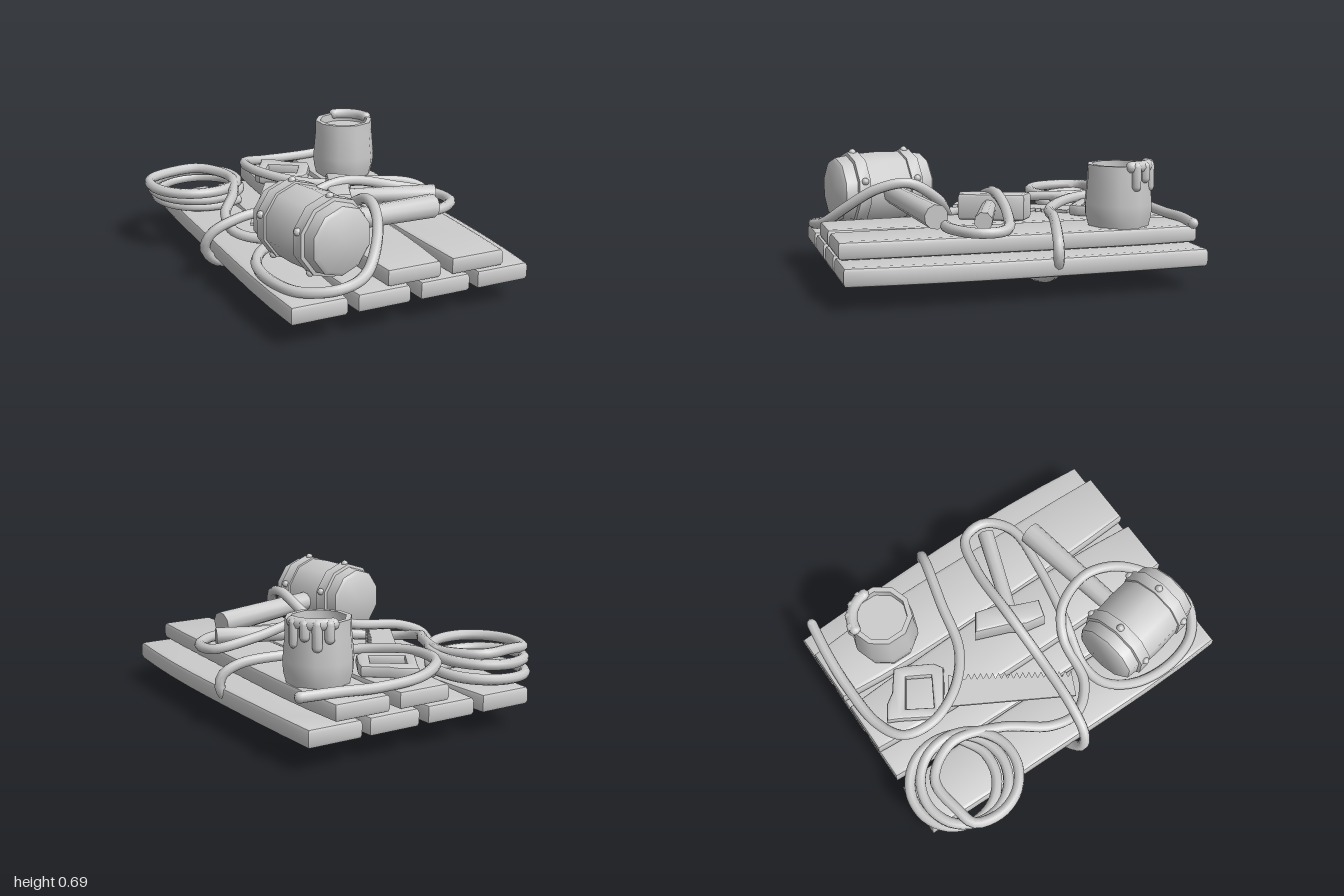
import * as THREE from 'three';
import { toCreasedNormals } from 'three/addons/utils/BufferGeometryUtils.js';

const V = (x, y, z) => new THREE.Vector3(x, y, z);
const grey = new THREE.MeshStandardMaterial({ color: 0xcccccc, side: THREE.DoubleSide });

function mesh(name, geometry, parent, crease = 0.8) {
  const m = new THREE.Mesh(toCreasedNormals(geometry, crease), grey);
  m.name = name;
  parent.add(m);
  return m;
}

// Plan outline given as [x, z] pairs, extruded from y0 to y1 with a bevelled edge
function slab(name, outline, y0, y1, bevel, parent, hole) {
  const toPoints = list => list.map(([x, z]) => new THREE.Vector2(x, -z));
  const shape = new THREE.Shape(toPoints(outline));
  if (hole) shape.holes.push(new THREE.Path(toPoints(hole)));
  const g = new THREE.ExtrudeGeometry(shape, {
    depth: y1 - y0 - 2 * bevel, bevelEnabled: bevel > 0, bevelThickness: bevel,
    bevelSize: bevel, bevelOffset: -bevel, bevelSegments: 2,
  });
  g.rotateX(-Math.PI / 2).translate(0, y0 + bevel, 0);
  return mesh(name, g, parent, 0.6);
}

// Plank with softly waving sides
function plank(name, x0, x1, y0, y1, seed, parent) {
  const left = [], right = [], n = 8;
  for (let i = 0; i <= n; i++) {
    const t = i / n, z = -0.94 + 1.91 * t;
    const pinch = 0.025 * Math.pow(Math.abs(2 * t - 1), 3);
    left.push([x0 + pinch + 0.007 * Math.sin(5 * t + seed), z]);
    right.push([x1 - pinch + 0.007 * Math.sin(6 * t + seed * 2), z]);
  }
  slab(name, [...left, ...right.reverse()], y0, y1, 0.022, parent);
}

// Tapered rod between two points
function rod(name, a, b, ra, rb, sides, parent) {
  const dir = b.clone().sub(a);
  const m = mesh(name, new THREE.CylinderGeometry(rb, ra, dir.length(), sides), parent);
  m.position.copy(a).add(b).multiplyScalar(0.5);
  m.quaternion.setFromUnitVectors(V(0, 1, 0), dir.normalize());
  return m;
}

const lathe = (pts, sides) =>
  new THREE.LatheGeometry(pts.map(p => new THREE.Vector2(p[0], p[1])), sides);

function buildMallet() {
  const mallet = new THREE.Group();
  mallet.name = 'mallet';
  const head = new THREE.Group();
  head.name = 'malletHead';
  mallet.add(head);
  const profile = [[0, -0.27], [0.16, -0.27], [0.18, -0.255], [0.197, -0.14], [0.203, 0],
    [0.197, 0.14], [0.18, 0.255], [0.16, 0.27], [0, 0.27]];
  mesh('malletBarrel', lathe(profile, 10), head, 0.7);
  for (const y of [-0.155, 0.155]) {
    const band = [[0.19, y - 0.037], [0.207, y - 0.033], [0.209, y + 0.033], [0.19, y + 0.037]];
    mesh('malletBand', lathe(band, 10), head, 0.7);
    for (let k = 0; k < 5; k++) {
      const a = k * Math.PI * 0.4;
      const rivet = mesh('malletRivet', new THREE.SphereGeometry(0.021, 8, 6), head);
      rivet.position.set(0.205 * Math.sin(a), y, 0.205 * Math.cos(a));
    }
  }
  // Barrel axis lies flat, swung slightly toward +x at the front
  head.position.set(-0.335, 0.465, 0.6);
  head.quaternion.setFromRotationMatrix(new THREE.Matrix4().makeBasis(
    V(-0.98, 0, 0.2), V(0.2, 0, 0.98), V(0, 1, 0)));
  rod('malletHandle', V(-0.25, 0.455, 0.57), V(0.46, 0.41, 0.45), 0.052, 0.066, 10, mallet);
  return mallet;
}

function buildHammer() {
  const hammer = new THREE.Group();
  hammer.name = 'hammer';
  slab('hammerHead', [[0.12, -0.16], [0.22, -0.09], [0.19, 0.02], [0.13, 0.12], [0.08, 0.24],
    [-0.02, 0.21], [0.0, 0.1], [0.05, 0.02]], 0.325, 0.47, 0.018, hammer);
  rod('hammerHandle', V(0.1, 0.4, 0.07), V(0.6, 0.4, 0.24), 0.04, 0.048, 8, hammer);
  return hammer;
}

function buildSaw() {
  const saw = new THREE.Group();
  saw.name = 'saw';
  const outline = [[0.04, -0.4], [-0.11, -0.5], [-0.46, 0.11], [-0.33, 0.17]];
  // Toothed cutting edge
  const teeth = 18;
  for (let i = 0; i < teeth; i++) {
    const t = i / teeth;
    const x = -0.33 + 0.33 * t, z = 0.17 - 0.5 * t;
    outline.push([x, z], [x - 0.018, z - 0.034]);
  }
  slab('sawBlade', outline, 0.328, 0.345, 0, saw);
  slab('sawHandle', [[0.0, -0.82], [0.08, -0.77], [0.12, -0.71], [0.23, -0.63], [0.21, -0.57],
    [0.13, -0.43], [0.08, -0.4], [0.0, -0.45], [-0.13, -0.54], [-0.14, -0.58], [-0.03, -0.76]],
  0.322, 0.385, 0.015, saw, [[0.0, -0.7], [-0.08, -0.57], [0.08, -0.48], [0.15, -0.6]]);
  return saw;
}

function buildPot() {
  const pot = new THREE.Group();
  pot.name = 'paintPot';
  mesh('potBody', lathe([[0, 0], [0.165, 0], [0.181, 0.06], [0.184, 0.12], [0.172, 0.25],
    [0.17, 0.33], [0.142, 0.33], [0.14, 0.28]], 10), pot, 0.75);
  mesh('paintSurface', new THREE.CircleGeometry(0.145, 10).rotateX(-Math.PI / 2), pot)
    .position.y = 0.285;
  // Paint spilling over the rim, with drips down the outside
  const arc = [];
  for (let i = 0; i <= 6; i++) {
    const a = -1.5 + i * 0.24;
    arc.push(V(0.155 * Math.cos(a), 0.325, 0.155 * Math.sin(a)));
  }
  mesh('paintSpill', new THREE.TubeGeometry(new THREE.CatmullRomCurve3(arc), 10, 0.031, 8), pot);
  const ends = [arc[0], arc[6]];
  for (const p of ends) mesh('paintSpillEnd', new THREE.SphereGeometry(0.031, 8, 6), pot).position.copy(p);
  [[-1.35, 0.07], [-0.98, 0.11], [-0.6, 0.06], [-0.22, 0.1]].forEach(([a, len]) => {
    const drip = mesh('paintDrip', new THREE.CapsuleGeometry(0.027, len, 4, 8), pot);
    drip.position.set(0.166 * Math.cos(a), 0.325 - len / 2, 0.166 * Math.sin(a));
  });
  pot.position.set(0.43, 0.32, -0.55);
  return pot;
}

function buildRope() {
  const rope = new THREE.Group();
  rope.name = 'rope';
  const path = [];
  // Coil of rising, drifting turns
  const turns = 2.5, steps = 26;
  for (let i = 0; i <= steps; i++) {
    const t = i / steps, a = 0.85 + t * turns * 2 * Math.PI - 0.3 * t;
    const k = Math.min(1, t * 1.15);
    path.push(V(-0.44 - 0.075 * k + 0.25 * Math.cos(a), 0.25 + 0.13 * k,
      -0.725 + 0.11 * k + 0.25 * Math.sin(a)));
  }
  // Run to the front, loop round the mallet, cross the hammer, pass under the
  // planks and end at the back corner
  const run = [
    [-0.62, 0.39, -0.78], [-0.42, 0.39, -0.79], [-0.3, 0.38, -0.6], [-0.38, 0.37, -0.33],
    [-0.52, 0.33, -0.1], [-0.53, 0.29, 0.07], [-0.4, 0.28, 0.21], [-0.15, 0.33, 0.25],
    [-0.02, 0.43, 0.33], [0.03, 0.53, 0.5], [0.0, 0.5, 0.67], [-0.08, 0.4, 0.82],
    [-0.2, 0.3, 0.93], [-0.36, 0.27, 0.97], [-0.52, 0.25, 0.87], [-0.59, 0.25, 0.68],
    [-0.57, 0.25, 0.45], [-0.47, 0.26, 0.3], [-0.33, 0.28, 0.26], [-0.05, 0.355, 0.32],
    [0.28, 0.36, 0.38], [0.55, 0.36, 0.39], [0.68, 0.355, 0.28], [0.66, 0.36, 0.14],
    [0.45, 0.41, 0.07], [0.12, 0.48, 0.05], [-0.2, 0.4, 0.06], [-0.5, 0.36, 0.05],
    [-0.65, 0.29, 0.03], [-0.68, 0.2, 0.0], [-0.6, 0.1, -0.04], [-0.35, 0.05, -0.09],
    [0, 0.032, -0.11], [0.35, 0.05, -0.12], [0.62, 0.11, -0.12], [0.75, 0.2, -0.11],
    [0.75, 0.28, -0.11], [0.66, 0.34, -0.13], [0.4, 0.37, -0.2], [0.12, 0.37, -0.27],
    [-0.06, 0.39, -0.42], [-0.15, 0.4, -0.62], [-0.12, 0.39, -0.79], [0.03, 0.36, -0.87],
    [0.3, 0.35, -0.89], [0.52, 0.36, -0.88], [0.72, 0.36, -0.855],
  ];
  run.forEach(p => path.push(V(...p)));
  const radius = 0.029;
  const curve = new THREE.CatmullRomCurve3(path, false, 'centripetal');
  mesh('ropeStrand', new THREE.TubeGeometry(curve, 420, radius, 8), rope, 1.2);
  for (const p of [path[0], path[path.length - 1]])
    mesh('ropeEnd', new THREE.SphereGeometry(radius, 8, 6), rope, 1.2).position.copy(p);
  return rope;
}

export function createModel() {
  const model = new THREE.Group();
  model.name = 'toolRaft';
  // Four planks below, two above
  const planks = new THREE.Group();
  planks.name = 'planks';
  [[-0.63, -0.285], [-0.28, 0.06], [0.068, 0.4], [0.408, 0.755]].forEach(([a, b], i) =>
    plank('lowerPlank', a, b, 0.125, 0.226, i * 1.7, planks));
  [[-0.12, 0.235], [0.243, 0.598]].forEach(([a, b], i) =>
    plank('upperPlank', a, b, 0.23, 0.325, 2 + i * 1.3, planks));
  model.add(planks, buildMallet(), buildHammer(), buildSaw(), buildPot(), buildRope());
  return model;
}
